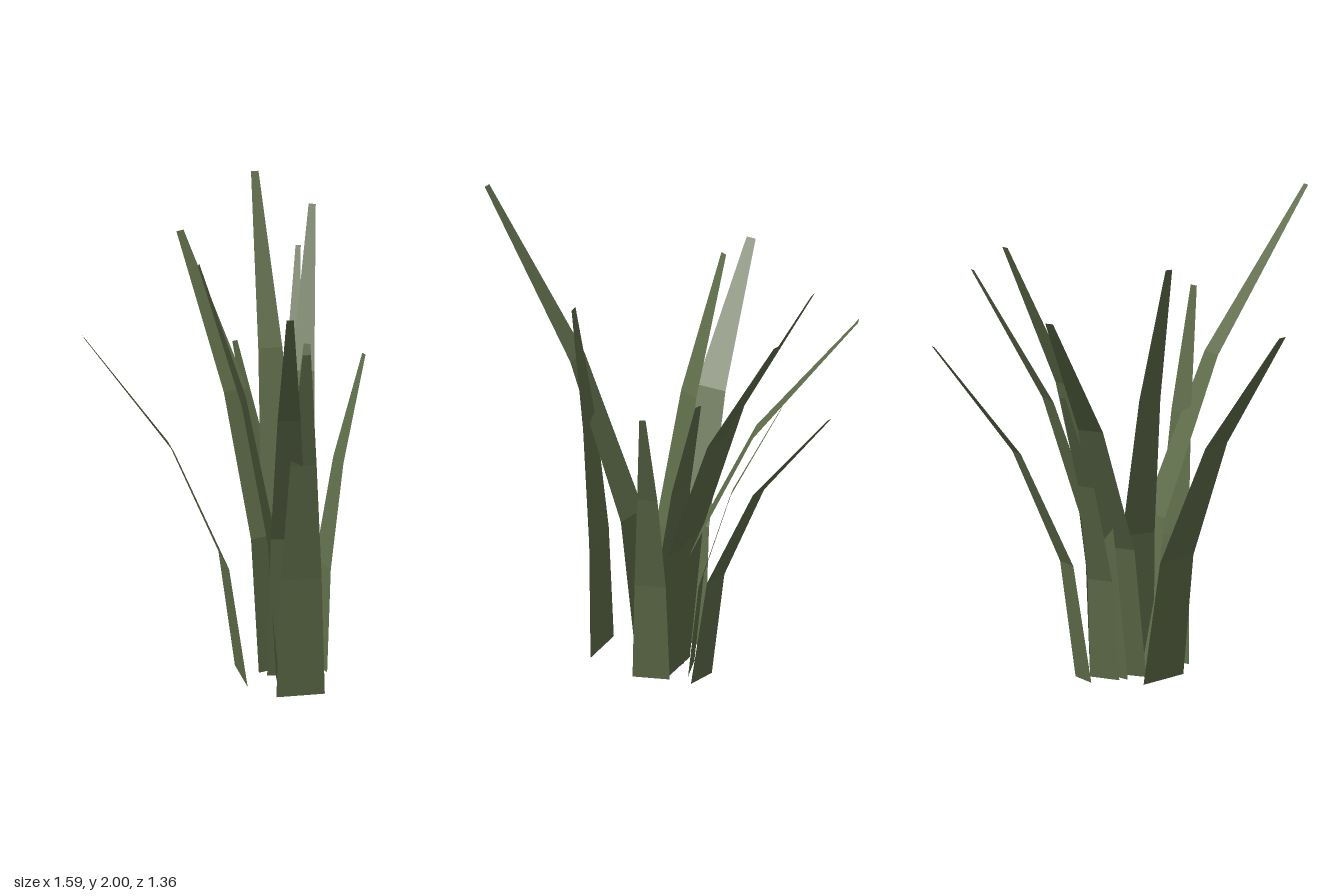
import * as THREE from 'three';

// One blade per row: base x, base z, base width, tip x, tip y, tip z
const BLADES = [
  [-0.07, 0.145, 0.18, -0.79, 2.0, 0.665],
  [0.03, 0.045, 0.19, 0.48, 2.0, -0.42],
  [-0.066, 0.1, 0.18, -0.215, 1.85, -0.22],
  [0.045, 0.1, 0.18, 0.62, 1.85, -0.22],
  [-0.02, 0.065, 0.21, 0.29, 1.73, -0.675],
  [-0.19, -0.015, 0.25, -0.7, 1.62, -0.475],
  [-0.22, 0.315, 0.21, -0.315, 1.62, 0.415],
  [0.15, -0.02, 0.13, 0.785, 1.56, -0.41],
  [0.09, 0.185, 0.16, 0.295, 1.39, 0.28],
  [0.06, 0.0, 0.14, 0.235, 1.32, -0.35],
  [0.04, 0.1, 0.18, 0.245, 1.39, 0.02],
];

// Flat tapering strip of three segments that leans outward along a parabola
function bladeGeometry([bx, bz, width, tx, ty, tz]) {
  const dx = tx - bx, dz = tz - bz, length = Math.hypot(dx, dz);
  const sideX = -dz / length, sideZ = dx / length;
  const geometry = new THREE.PlaneGeometry(1, 1, 1, 3);
  const p = geometry.attributes.position;
  for (let i = 0; i < p.count; i++) {
    const t = p.getY(i) + 0.5;
    const offset = p.getX(i) * width * (1 - 0.83 * t ** 1.5);
    p.setXYZ(i, bx + dx * t * t + sideX * offset, ty * t, bz + dz * t * t + sideZ * offset);
  }
  geometry.computeVertexNormals();
  return geometry;
}

export function createModel() {
  const group = new THREE.Group();
  group.name = 'grassTuft';
  const material = new THREE.MeshStandardMaterial({
    color: 0x5f6d4a, side: THREE.DoubleSide, flatShading: true,
  });
  BLADES.forEach((blade, i) => {
    const mesh = new THREE.Mesh(bladeGeometry(blade), material);
    mesh.name = `grassBlade${i + 1}`;
    group.add(mesh);
  });
  return group;
}
